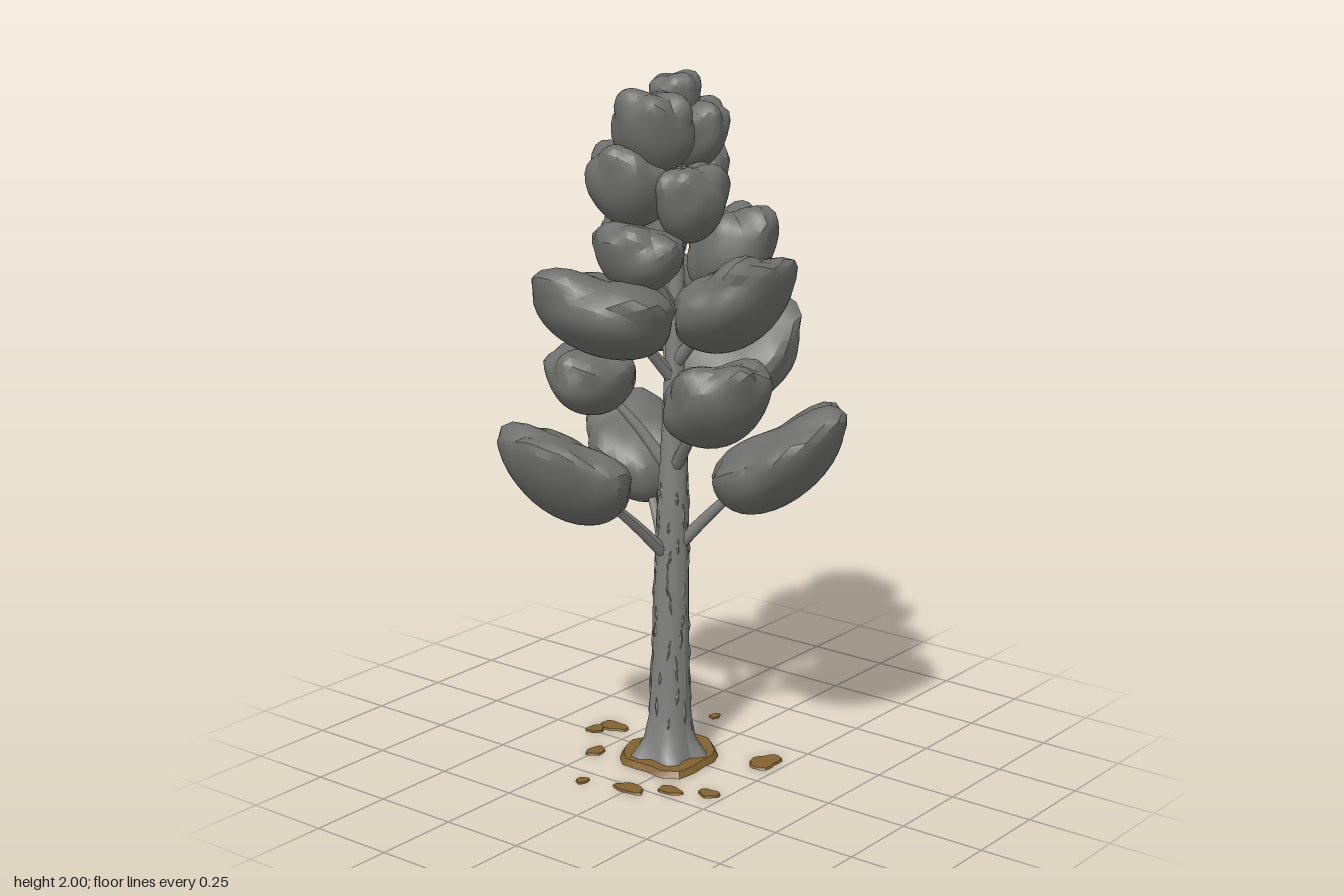
import * as THREE from 'three';
import { toCreasedNormals } from 'three/addons/utils/BufferGeometryUtils.js';

function seeded(seed) {
  let s = seed * 7919 + 17;
  return () => ((s = (s * 16807) % 2147483647) / 2147483647);
}

// Centre line of the slightly leaning trunk
const trunkAt = (y) => new THREE.Vector3(-0.02 + 0.025 * y, y, -0.055);

// Trunk profile: radius, height
const PROFILE = [[0.105, 0], [0.09, 0.03], [0.07, 0.07], [0.06, 0.14], [0.056, 0.25], [0.051, 0.48],
  [0.047, 0.72], [0.042, 0.85], [0.034, 1], [0.027, 1.2], [0.022, 1.45], [0.015, 1.7], [0.005, 1.88]];

function radiusAt(y) {
  const i = Math.max(1, PROFILE.findIndex((p) => p[1] >= y));
  const [a, b] = [PROFILE[i - 1], PROFILE[i]];
  return THREE.MathUtils.mapLinear(y, a[1], b[1], a[0], b[0]);
}

// Runs a rule over every vertex
function deform(geo, rule) {
  const p = geo.attributes.position;
  const v = new THREE.Vector3();
  for (let i = 0; i < p.count; i++) {
    v.fromBufferAttribute(p, i);
    rule(v, i);
    p.setXYZ(i, v.x, v.y, v.z);
  }
  geo.computeVertexNormals();
  return geo;
}

function trunkGeometry() {
  const geo = new THREE.LatheGeometry(PROFILE.map(([r, y]) => new THREE.Vector2(r, y)), 20);
  return deform(geo, (v) => {
    const a = Math.atan2(v.z, v.x);
    const flare = 0.28 * Math.cos(5 * a + 0.6) * Math.exp(-v.y * 18);
    const bark = 0.04 * Math.sin(7 * a + v.y * 9);
    const c = trunkAt(v.y);
    v.set(c.x + v.x * (1 + flare + bark), v.y, c.z + v.z * (1 + flare + bark));
  });
}

// Leaf clump: lobed ball of a given centre and size, raised on its outer side
function clumpGeometry(centre, size, seed) {
  const rnd = seeded(seed);
  for (let i = 0; i < 5; i++) rnd();
  const lobes = [];
  for (let i = 0; i < 11; i++) {
    const a = (i / 11) * Math.PI * 4 + rnd() * 0.9;
    lobes.push(new THREE.Vector3(Math.cos(a), -0.25 + rnd() * 1.2, Math.sin(a)).normalize());
  }
  const out = centre.clone().sub(trunkAt(centre.y));
  const lift = Math.max(0.1, 4 * size.y - 0.7) * Math.min(1, out.length() * 4);
  out.normalize();
  const geo = deform(new THREE.IcosahedronGeometry(1, 5), (v) => {
    const near = Math.max(...lobes.map((l) => Math.exp(-7 * (1 - l.dot(v)))));
    const top = Math.max(0, v.y);
    v.multiplyScalar(0.76 + 0.3 * near * (0.35 + 0.65 * Math.min(1, top * 2 + 0.2)) - 0.14 * top);
    v.y += lift * (v.x * out.x + v.z * out.z);
  });
  geo.computeBoundingBox();
  const middle = geo.boundingBox.getCenter(new THREE.Vector3());
  const extent = geo.boundingBox.getSize(new THREE.Vector3());
  deform(geo, (v) => v.sub(middle).divide(extent).multiply(size).add(centre));
  return toCreasedNormals(geo, 0.5);
}

// Tapering branch from the trunk up into a clump
function branchGeometry(target) {
  const start = trunkAt(1.2 * target.y - 0.5);
  const mid = start.clone().lerp(target, 0.5);
  mid.y += 0.02;
  const curve = new THREE.CatmullRomCurve3([start, mid, target]);
  return deform(new THREE.TubeGeometry(curve, 10, 0.021, 7), (v, i) => {
    const t = Math.floor(i / 8) / 10;
    v.lerp(curve.getPointAt(t), 0.6 * t);
  });
}

// Flat irregular patch on the ground
function patchGeometry(rx, rz, h, seed) {
  return toCreasedNormals(deform(new THREE.CylinderGeometry(0.92, 1, h, 18), (v) => {
    const a = Math.atan2(v.z, v.x);
    const k = 1 + 0.1 * Math.sin(3 * a + seed) + 0.07 * Math.sin(5 * a + seed * 2.3);
    v.set(v.x * rx * k, v.y + h / 2, v.z * rz * k);
  }), 0.6);
}

// Leaf clumps by tier: centre x, y, z, then size x, y, z
const LOWER = [
  [-0.36, 0.92, -0.14, 0.28, 0.29, 0.41],
  [0.1, 0.94, 0.26, 0.4, 0.33, 0.37],
  [0.13, 0.87, -0.29, 0.3, 0.3, 0.31],
  [0.31, 1.17, -0.08, 0.37, 0.38, 0.42],
  [-0.14, 1.14, 0.21, 0.28, 0.27, 0.32],
  [-0.12, 1.13, -0.25, 0.3, 0.2, 0.24],
];
const MIDDLE = [
  [-0.22, 1.36, -0.13, 0.36, 0.27, 0.47],
  [0.15, 1.31, -0.22, 0.24, 0.27, 0.24],
  [-0.03, 1.4, 0.2, 0.4, 0.3, 0.29],
  [0.15, 1.49, 0.04, 0.21, 0.27, 0.27],
  [0.07, 1.51, -0.21, 0.27, 0.18, 0.22],
  [-0.15, 1.51, -0.06, 0.22, 0.2, 0.28],
];
const UPPER = [
  [0.13, 1.69, -0.13, 0.21, 0.31, 0.29],
  [-0.03, 1.65, 0.03, 0.24, 0.22, 0.19],
  [-0.12, 1.7, -0.11, 0.21, 0.24, 0.25],
];
const CROWN = [
  [-0.1, 1.85, -0.05, 0.19, 0.24, 0.24],
  [0.06, 1.83, -0.02, 0.16, 0.2, 0.19],
  [0.04, 1.8, -0.13, 0.24, 0.24, 0.15],
  [0.03, 1.92, -0.07, 0.15, 0.16, 0.15],
];

// Scattered ground patches: x, z, radii
const PATCHES = [
  [-0.31, -0.14, 0.022, 0.018], [-0.27, 0, 0.03, 0.05], [-0.21, 0.1, 0.025, 0.04], [-0.16, 0.2, 0.025, 0.035],
  [0.12, 0.19, 0.06, 0.04], [0.01, -0.36, 0.03, 0.025], [0.06, -0.33, 0.03, 0.05], [0.19, -0.16, 0.025, 0.02],
  [0.31, -0.14, 0.02, 0.015], [-0.12, -0.25, 0.035, 0.025],
];

export function createModel() {
  const leafGrey = new THREE.MeshStandardMaterial({ name: 'leafGrey', color: 0x6e6e6c });
  const barkGrey = new THREE.MeshStandardMaterial({ name: 'barkGrey', color: 0x7f7f7d });
  const soilBrown = new THREE.MeshStandardMaterial({ name: 'soilBrown', color: 0x82622f });
  const tree = new THREE.Group();
  tree.name = 'tree';
  const add = (name, geo, mat, parent = tree) => {
    const m = new THREE.Mesh(geo, mat);
    m.name = name;
    parent.add(m);
    return m;
  };

  add('trunk', trunkGeometry(), barkGrey);

  // Bark slivers lying on the trunk
  const bark = new THREE.Group();
  bark.name = 'barkRidges';
  tree.add(bark);
  const rnd = seeded(5);
  const sliver = new THREE.OctahedronGeometry(1);
  for (let i = 0; i < 70; i++) {
    const y = 0.1 + 0.75 * (i / 70);
    const a = i * 2.4 + rnd();
    const r = radiusAt(y);
    const m = add('barkRidge', sliver, barkGrey, bark);
    m.position.copy(trunkAt(y)).add(new THREE.Vector3(Math.sin(a) * r, 0, Math.cos(a) * r));
    m.rotation.set(0, a, (rnd() - 0.5) * 0.4);
    m.scale.set(0.006, 0.02 + rnd() * 0.025, 0.005);
  }

  // Clumps, each carried by a branch except in the crown
  [LOWER, MIDDLE, UPPER, CROWN].forEach((tier, t) => {
    tier.forEach(([x, y, z, w, h, d], i) => {
      const centre = new THREE.Vector3(x, y, z);
      add('leafClump', clumpGeometry(centre, new THREE.Vector3(w, h, d), t * 6 + i + 3), leafGrey);
      if (tier !== CROWN) add('branch', branchGeometry(centre), barkGrey);
    });
  });

  // Soil around the base and scattered patches
  add('soilMound', patchGeometry(0.15, 0.14, 0.018, 1), soilBrown).position.set(-0.015, 0, -0.055);
  PATCHES.forEach(([x, z, rx, rz], i) => {
    add('soilPatch', patchGeometry(rx, rz, 0.006, i * 1.7), soilBrown).position.set(x, 0, z);
  });
  return tree;
}
